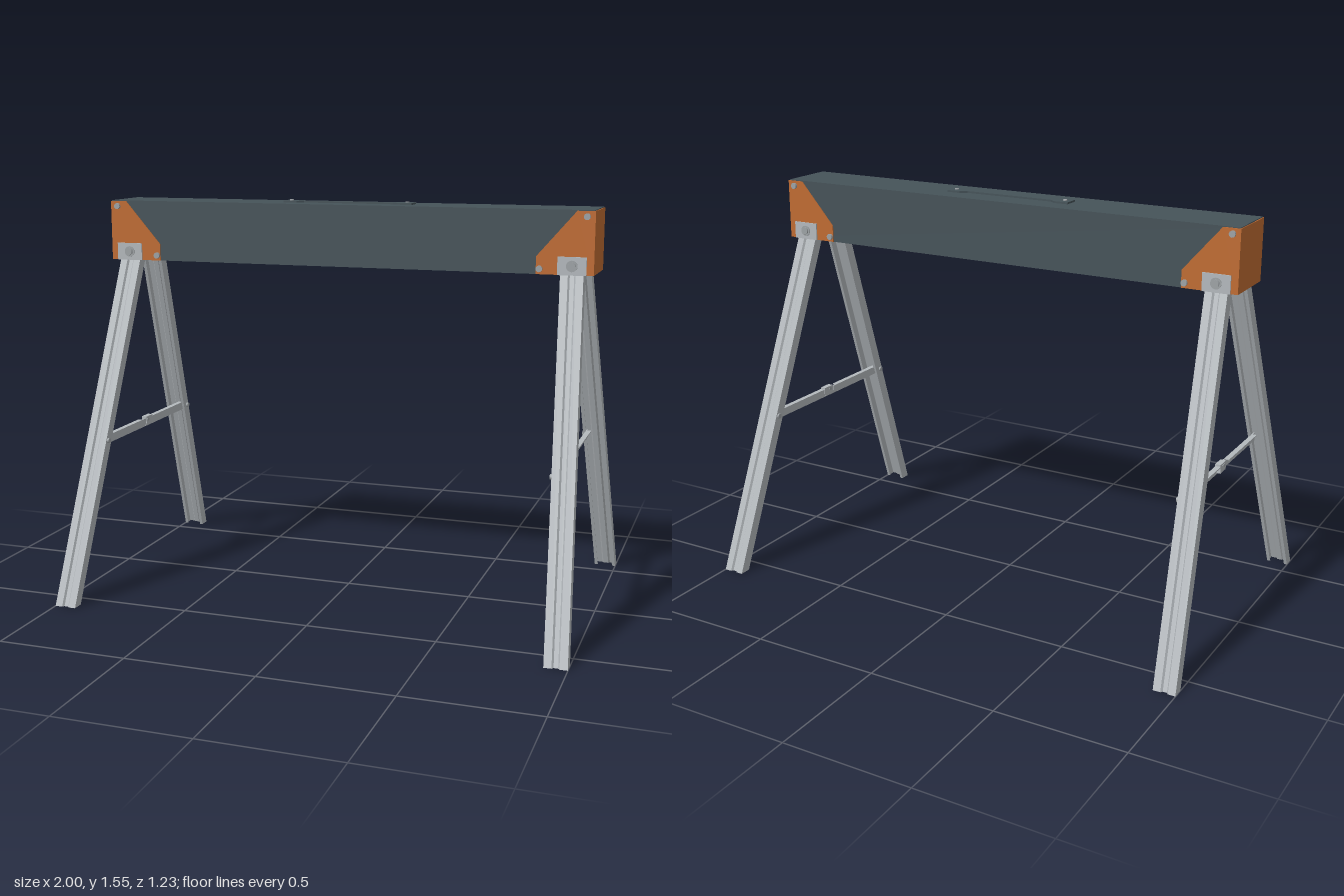
import * as THREE from 'three';

const material = (name, color) => {
  const m = new THREE.MeshStandardMaterial({ color });
  m.name = name;
  return m;
};

const BEAM_BOTTOM = 1.305, BEAM_TOP = 1.54, BEAM_HALF = 0.963;
const LEG_TOP = 1.31;
const FOOT = { x: 0.957, z: 0.613 }, HIP = { x: 0.887, z: 0.114 }; // leg centre line on its outer face

function shapeOf(points) {
  return new THREE.Shape(points.map(([x, y]) => new THREE.Vector2(x, y)));
}

const extrude = (points, depth) =>
  new THREE.ExtrudeGeometry(shapeOf(points), { depth, bevelEnabled: false, curveSegments: 6 });

// Mirrors half an outline (x > 0 side, listed in order) into a closed symmetric one
const symmetric = half => [...half, ...half.slice().reverse().map(([x, y]) => [-x, y])];

export function createModel() {
  const steel = material('galvanised steel', 0xb4b9bd);
  const bolts = material('bolt grey', 0x9ea3a6);
  const orange = material('orange paint', 0xc06c33);
  const slate = material('slate paint', 0x465359);
  const model = new THREE.Group();
  model.name = 'sawhorse';

  const add = (parent, name, geometry, mat, x = 0, y = 0, z = 0) => {
    const mesh = new THREE.Mesh(geometry, mat);
    mesh.name = name;
    mesh.position.set(x, y, z);
    parent.add(mesh);
    return mesh;
  };
  const box = (parent, name, mat, w, h, d, x, y, z) =>
    add(parent, name, new THREE.BoxGeometry(w, h, d), mat, x, y, z);
  // Bolt or rivet head facing +z
  const bolt = (parent, name, r, h, x, y, z, sides = 16) =>
    add(parent, name, new THREE.CylinderGeometry(r, r, h, sides).rotateX(Math.PI / 2), bolts, x, y, z + h / 2);

  // Beam: folded channel, open underneath between two lips
  const beamProfile = symmetric([
    [0.035, BEAM_TOP - 0.006], [0.104, BEAM_TOP - 0.006], [0.104, BEAM_BOTTOM + 0.006],
    [0.07, BEAM_BOTTOM + 0.006], [0.07, BEAM_BOTTOM], [0.11, BEAM_BOTTOM], [0.11, BEAM_TOP],
  ]);
  // The symmetric outline closes across the middle: inner ceiling first, outer top last
  const beamGeometry = extrude(beamProfile, 2 * BEAM_HALF)
    .translate(0, 0, -BEAM_HALF).rotateY(Math.PI / 2);
  add(model, 'beam', beamGeometry, slate);

  // Carry handle: flat strap with wide riveted ends
  const handleHalf = [
    [0.26, 0.03], [0.205, 0.03], [0.18, 0.012], [-0.18, 0.012], [-0.205, 0.03], [-0.26, 0.03],
  ];
  const handleOutline = [...handleHalf, ...handleHalf.slice().reverse().map(([x, y]) => [x, -y])];
  add(model, 'handle', extrude(handleOutline, 0.007).rotateX(-Math.PI / 2), slate, 0, BEAM_TOP, 0);
  for (const s of [-1, 1]) {
    add(model, 'handleRivet', new THREE.CylinderGeometry(0.008, 0.008, 0.004, 12), bolts, s * 0.235, BEAM_TOP + 0.009, 0);
  }

  // Leg: ribbed channel opening inward, sheared so it splays with a level foot
  const legProfile = symmetric([
    [0.008, 0.008], [0.014, 0], [0.0425, 0], [0.0425, 0.045], [0.03, 0.045],
    [0.03, 0.041], [0.0385, 0.041], [0.0385, 0.004], [0.016, 0.004], [0.01, 0.012],
  ]);
  const makeLeg = side => {
    const g = extrude(legProfile, LEG_TOP).rotateX(-Math.PI / 2);
    const p = g.attributes.position;
    for (let i = 0; i < p.count; i++) {
      const t = p.getY(i) / BEAM_BOTTOM;
      p.setX(i, p.getX(i) + side * THREE.MathUtils.lerp(FOOT.x, HIP.x, t));
      p.setZ(i, p.getZ(i) + THREE.MathUtils.lerp(FOOT.z, HIP.z, t));
    }
    g.computeVertexNormals();
    return g;
  };

  // One corner on the front: gusset, leg, mounting plate and bolts
  const makeCorner = side => {
    const corner = new THREE.Group();
    corner.name = 'corner';
    const gusset = [
      [0.963, BEAM_BOTTOM], [0.963, 1.537], [0.9, 1.537], [0.755, 1.37], [0.755, BEAM_BOTTOM],
    ].map(([x, y]) => [side * x, y]);
    add(corner, 'gusset', extrude(gusset, 0.004), orange, 0, 0, 0.11);
    bolt(corner, 'gussetRivet', 0.012, 0.009, side * 0.937, 1.517, 0.114);
    bolt(corner, 'gussetRivet', 0.012, 0.009, side * 0.768, 1.325, 0.114);

    add(corner, 'leg', makeLeg(side), steel);
    box(corner, 'mountingPlate', steel, 0.106, 0.067, 0.005, side * HIP.x, 1.338, 0.1165);
    box(corner, 'innerBracket', steel, 0.1, 0.05, 0.052, side * HIP.x, 1.336, 0.077);
    bolt(corner, 'legWasher', 0.021, 0.003, side * HIP.x, 1.338, 0.119, 20);
    bolt(corner, 'legBolt', 0.015, 0.006, side * HIP.x, 1.338, 0.122, 6);

    // Pivot bolt through the inner flange of the leg
    const pivot = bolt(corner, 'bracePivot', 0.01, 0.012, side * 0.88, 0.615, 0.357);
    pivot.rotation.y = Math.PI / 2;
    return corner;
  };
  for (const side of [-1, 1]) {
    const front = makeCorner(side), back = makeCorner(side);
    back.rotation.y = Math.PI;
    model.add(front, back);
  }

  // End caps and folding braces
  for (const side of [-1, 1]) {
    box(model, 'endCap', orange, 0.005, 0.232, 0.228, side * 0.964, 1.421, 0);
    const brace = new THREE.Group();
    brace.name = 'brace';
    brace.position.set(side * 0.893, 0.615, 0);
    for (const [z0, z1] of [[0.027, 0.365], [-0.365, 0.025]]) {
      const length = z1 - z0, mid = (z0 + z1) / 2;
      box(brace, 'braceBar', steel, 0.005, 0.032, length, 0, 0, mid);
      box(brace, 'braceFlange', steel, 0.018, 0.004, length - 0.04, side * 0.009, 0.014, mid);
    }
    box(brace, 'braceLock', steel, 0.022, 0.034, 0.055, side * 0.006, 0.006, -0.012);
    const pin = bolt(brace, 'braceLockPin', 0.007, 0.024, side * 0.006, 0.01, 0);
    pin.rotation.y = Math.PI / 2;
    pin.position.z = 0;
    model.add(brace);
  }

  return model;
}
